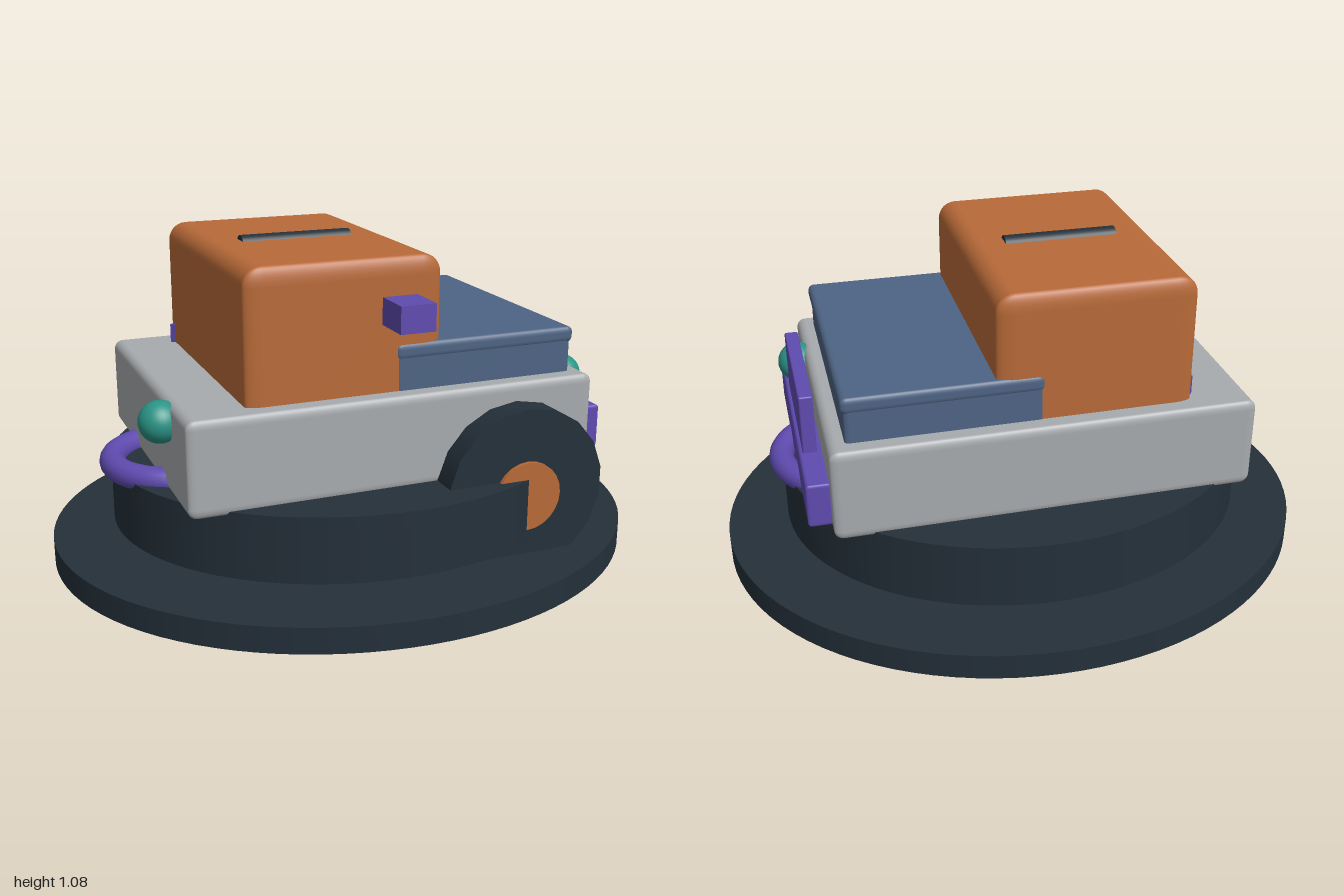
import * as THREE from 'three';
import { RoundedBoxGeometry } from 'three/addons/geometries/RoundedBoxGeometry.js';

function material(name, color) {
  const m = new THREE.MeshStandardMaterial({ color });
  m.name = name;
  return m;
}

export function createModel() {
  const model = new THREE.Group();
  model.name = 'vehicle';
  const dark = material('dark slate', 0x24303a);
  const orange = material('copper orange', 0xb86a38);
  const grey = material('light grey', 0xa8abae);
  const blue = material('steel blue', 0x4e6484);
  const purple = material('purple', 0x5f4bb0);
  const teal = material('teal', 0x2a9486);

  function add(name, geometry, mat, x, y, z) {
    const mesh = new THREE.Mesh(geometry, mat);
    mesh.name = name;
    mesh.position.set(x, y, z);
    model.add(mesh);
    return mesh;
  }

  // Block given by its limits; r is the rounding in x and y, rz the rounding in z
  function block(name, mat, [x0, x1], [y0, y1], [z0, z1], r = 0, rz = r) {
    const w = x1 - x0, h = y1 - y0, d = z1 - z0;
    const g = r
      ? new RoundedBoxGeometry(w, h, d * r / rz, 4, r).scale(1, 1, rz / r)
      : new THREE.BoxGeometry(w, h, d);
    return add(name, g, mat, (x0 + x1) / 2, (y0 + y1) / 2, (z0 + z1) / 2);
  }

  // Oval stand: a wide plate and a drum floating just above it
  const plate = new THREE.CylinderGeometry(1, 1, 0.085, 96).scale(1, 1, 0.88);
  add('basePlate', plate, dark, 0, 0.0425, 0);
  const drum = new THREE.CylinderGeometry(0.795, 0.795, 0.215, 96).scale(1, 1, 0.88);
  add('baseDrum', drum, dark, 0, 0.2375, 0);

  // Bodywork
  block('body', grey, [-0.68, 0.68], [0.333, 0.638], [-0.503, 0.503], 0.03, 0.015);
  block('cab', orange, [-0.48, 0.157], [0.5, 1.06], [-0.445, 0.445], 0.06, 0.022);
  block('hood', blue, [0.005, 0.625], [0.6, 0.775], [-0.447, 0.447], 0.02, 0.012);
  block('hoodLid', blue, [0.005, 0.633], [0.735, 0.788], [-0.45, 0.45], 0.02, 0.012);

  // Half-sunken bar along the roof
  const bar = new THREE.CylinderGeometry(0.036, 0.036, 0.375, 24).rotateZ(Math.PI / 2);
  add('roofBar', bar, dark, -0.163, 1.041, 0);

  // Single wheel with its hub
  const tyre = new THREE.CylinderGeometry(0.277, 0.277, 0.163, 18).rotateX(Math.PI / 2);
  add('wheel', tyre, dark, 0.4, 0.3, 0.51);
  const hub = new THREE.CylinderGeometry(0.115, 0.115, 0.165, 24).rotateX(Math.PI / 2);
  add('hub', hub, orange, 0.4, 0.287, 0.523);

  // Bumper and grille on the hood end
  block('bumper', purple, [0.675, 0.753], [0.357, 0.505], [-0.445, 0.445], 0.012, 0.006);
  block('grille', purple, [0.695, 0.74], [0.45, 0.703], [-0.245, 0.245], 0.006);

  // Side mirror and the small corner post
  block('mirror', purple, [-0.06, 0.054], [0.865, 0.95], [0.483, 0.615]);
  const post = add('cornerPost', new THREE.BoxGeometry(0.036, 0.1, 0.036), purple, -0.47, 0.652, -0.4);
  post.rotation.y = Math.PI / 4;

  // Lamps and curved tow handles at both ends
  for (const side of [-1, 1]) {
    add('lamp', new THREE.SphereGeometry(0.067, 32, 20), teal, side * 0.702, 0.575, 0.275);
    const handle = new THREE.TorusGeometry(0.22, 0.042, 16, 40, Math.PI)
      .rotateZ(-Math.PI / 2).rotateX(Math.PI / 2);
    if (side < 0) handle.rotateY(Math.PI);
    add('towHandle', handle, purple, side * 0.578, 0.352, 0);
  }
  return model;
}
